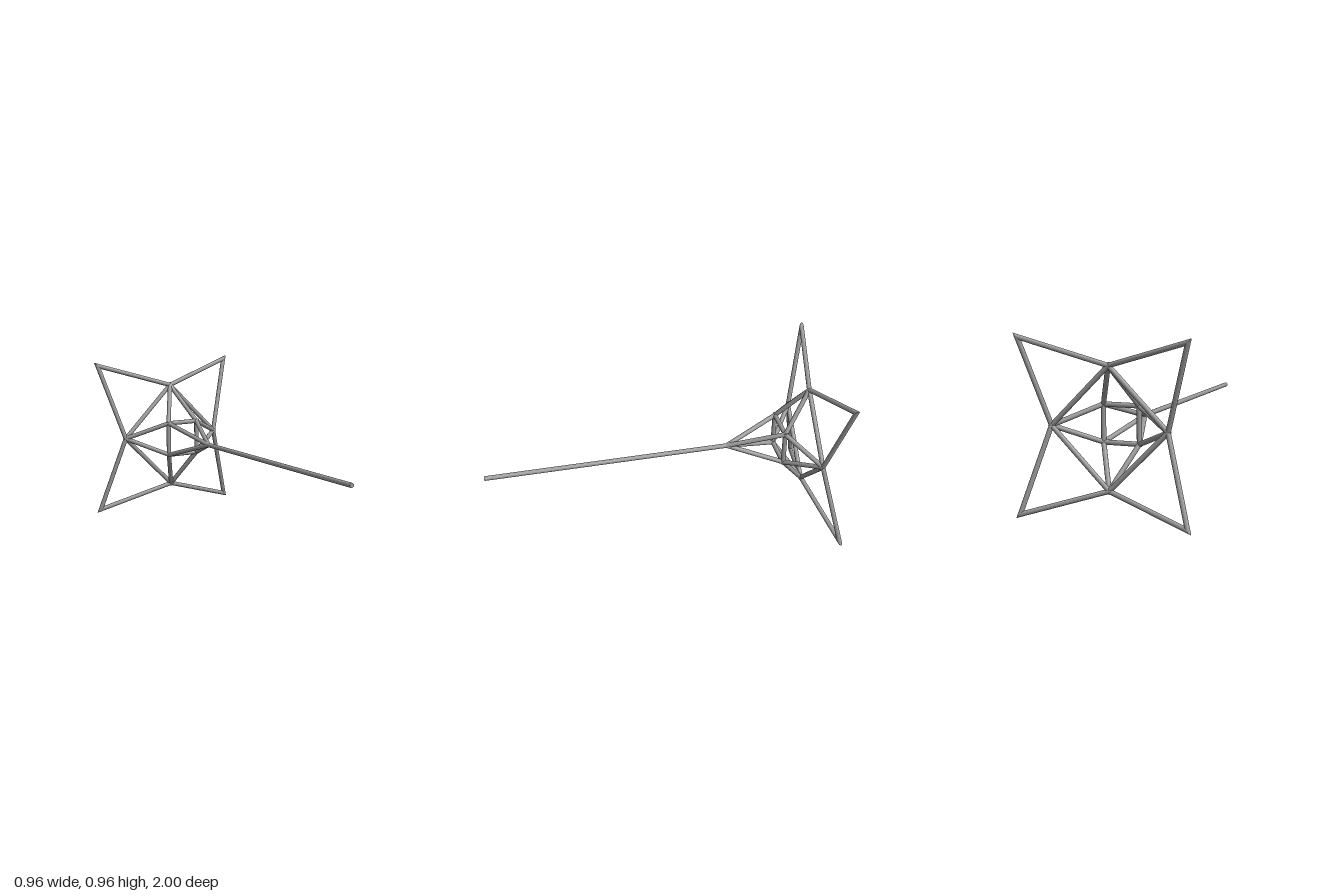
import * as THREE from 'three';

const R = 0.0135, CY = 0.478;
const V = (x, y, z) => new THREE.Vector3(x, CY + y, z);
const dir = (a, b) => b.clone().sub(a).normalize();

// Round strut from a to b; each end is cut by a plane with the given normal (mitre)
function strutGeometry(a, b, cutA, cutB) {
  const d = dir(a, b);
  const geo = new THREE.CylinderGeometry(R, R, a.distanceTo(b), 14, 1);
  const pos = geo.attributes.position;
  const atB = Array.from({ length: pos.count }, (_, i) => pos.getY(i) > 0);
  geo.applyQuaternion(new THREE.Quaternion().setFromUnitVectors(new THREE.Vector3(0, 1, 0), d));
  const mid = a.clone().add(b).multiplyScalar(0.5);
  geo.translate(mid.x, mid.y, mid.z);
  const v = new THREE.Vector3();
  for (let i = 0; i < pos.count; i++) {
    const p = atB[i] ? b : a, n = (atB[i] ? cutB : cutA) || d;
    v.fromBufferAttribute(pos, i);
    v.addScaledVector(d, -v.clone().sub(p).dot(n) / d.dot(n));
    pos.setXYZ(i, v.x, v.y, v.z);
  }
  return geo;
}

export function createModel() {
  const model = new THREE.Group();
  model.name = 'wireframeWand';
  const metal = new THREE.MeshStandardMaterial({ color: 0x999999 });
  metal.name = 'grey metal';

  function strut(group, name, a, b, cutA, cutB) {
    const mesh = new THREE.Mesh(strutGeometry(a, b, cutA, cutB), metal);
    mesh.name = name;
    group.add(mesh);
  }
  function part(name) {
    const g = new THREE.Group();
    g.name = name;
    model.add(g);
    return g;
  }
  // Closed loop of struts with mitred corners
  function loop(name, pts) {
    const g = part(name), n = pts.length;
    const at = i => pts[(i + n) % n];
    const cut = i => dir(at(i - 1), at(i)).add(dir(at(i), at(i + 1))).normalize();
    for (let i = 0; i < n; i++) strut(g, name + 'Strut', at(i), at(i + 1), cut(i), cut(i + 1));
  }

  // Joints
  const M = 0.32, T = 0.458, S = 0.1;
  const mids = [V(M, 0, -0.89), V(0, M, -0.89), V(-M, 0, -0.89), V(0, -M, -0.89)];
  const signs = [[1, 1], [-1, 1], [-1, -1], [1, -1]];
  const tips = signs.map(([x, y]) => V(x * T, y * T, -0.986));
  const corners = signs.map(([x, y]) => V(x * S, y * S, -0.73));
  const neck = V(0, 0, -0.41);

  // Star outline, inner diamond and small front square
  loop('star', mids.flatMap((m, i) => [m, tips[i]]));
  loop('diamond', mids);
  loop('square', corners);

  // Braces from the square to the diamond, and to the neck of the handle
  const braces = part('braces'), fork = part('fork');
  corners.forEach((c, i) => {
    strut(braces, 'brace', c, mids[i]);
    strut(braces, 'brace', c, mids[(i + 1) % 4]);
    strut(fork, 'forkProng', neck, c);
  });

  // Long straight handle
  strut(model, 'handle', neck, V(0, 0, 1));
  return model;
}
